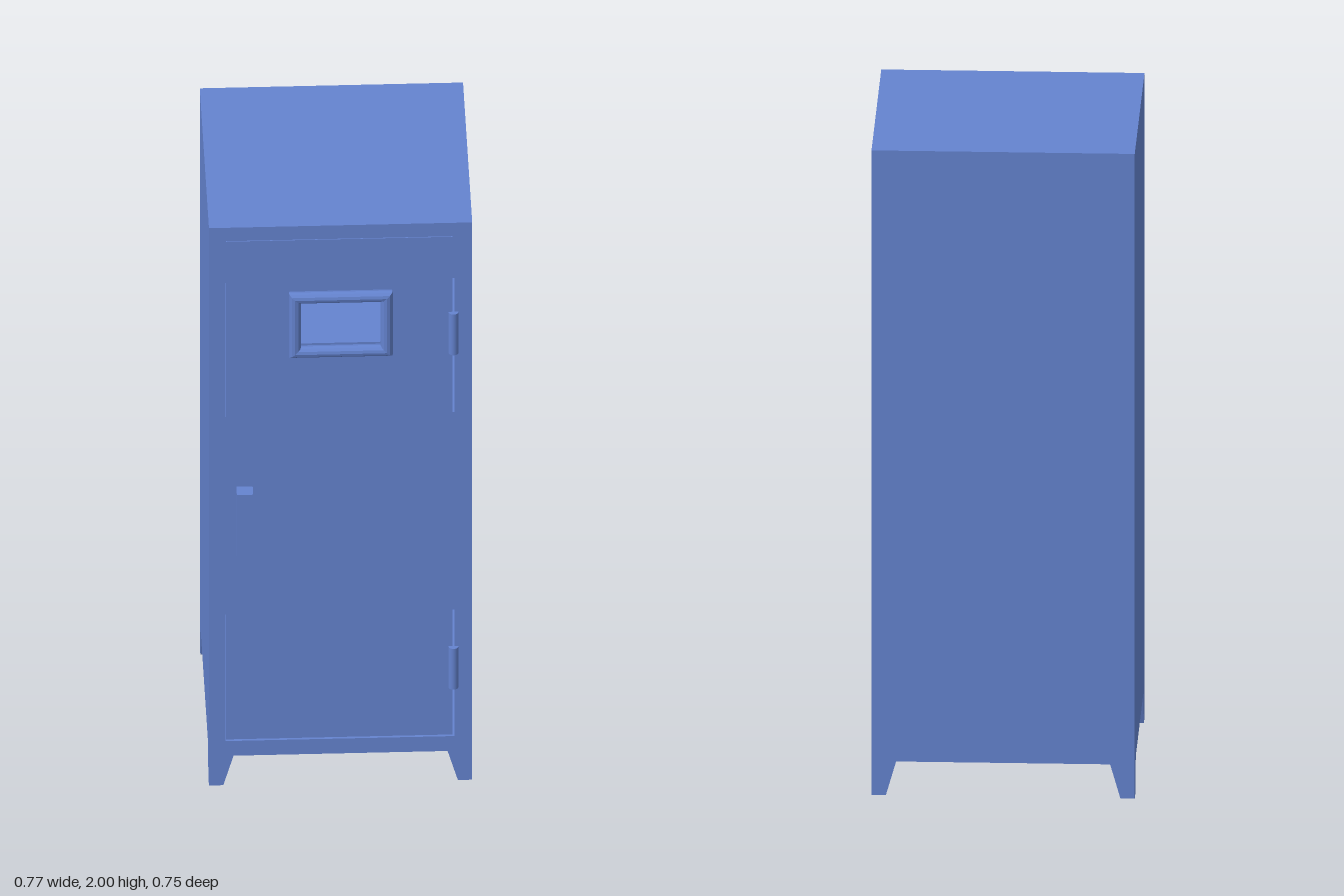
import * as THREE from 'three';

const W = 0.385, FRONT = 0.33, BACK = -0.375, BASE = 0.105, TOP = 2, T = 0.015;

export function createModel() {
  const model = new THREE.Group();
  model.name = 'locker';
  const paint = new THREE.MeshStandardMaterial({ color: 0x6483cf });
  paint.name = 'bluePaint';

  const add = (name, geometry) => {
    const mesh = new THREE.Mesh(geometry, paint);
    mesh.name = name;
    model.add(mesh);
    return mesh;
  };
  // Box given by its minimum and maximum corners
  const box = (name, x0, x1, y0, y1, z0, z1) =>
    add(name, new THREE.BoxGeometry(x1 - x0, y1 - y0, z1 - z0)
      .translate((x0 + x1) / 2, (y0 + y1) / 2, (z0 + z1) / 2));
  const rect = (x0, x1, y0, y1) => new THREE.Shape(
    [[x0, y0], [x1, y0], [x1, y1], [x0, y1]].map(p => new THREE.Vector2(...p)));
  const plate = shape => new THREE.ExtrudeGeometry(shape, { depth: T, bevelEnabled: false });

  // Hollow cabinet shell
  box('topPanel', -W, W, TOP - T, TOP, BACK, FRONT);
  box('bottomPanel', -W, W, BASE, BASE + T, BACK, FRONT);
  box('backPanel', -W, W, BASE, TOP, BACK, BACK + T);
  box('rightPanel', -W, -W + T, BASE, TOP, BACK, FRONT);
  box('leftPanel', W - T, W, BASE, TOP, BACK, FRONT);
  box('shelf', -W + T, W - T, 1.295, 1.31, BACK + T, FRONT - T);

  // Front frame around the door opening
  const frame = rect(-W, W, BASE, TOP);
  frame.holes.push(rect(-0.337, 0.333, 0.158, 1.952));
  add('doorSurround', plate(frame).translate(0, 0, FRONT - T));

  // Door with a window opening, narrow gaps all round
  const door = rect(-0.335, 0.327, 0.164, 1.95);
  door.holes.push(rect(-0.118, 0.118, 1.579, 1.741));
  add('door', plate(door).translate(0, 0, FRONT - T));

  // Window trim: a round section swept round a rectangle with mitred corners
  const SIDES = 12, R = 0.018, pos = [];
  const corners = [[1, 1], [-1, 1], [-1, -1], [1, -1]];
  const at = (c, s) => {
    const a = (s / SIDES) * Math.PI * 2, [sx, sy] = corners[c % 4];
    const out = R * Math.cos(a);
    return [sx * (0.134 + out), 1.66 + sy * (0.097 + out), 0.348 + R * Math.sin(a)];
  };
  for (let c = 0; c < 4; c++) {
    for (let s = 0; s < SIDES; s++) {
      const p = at(c, s), q = at(c + 1, s), r = at(c + 1, s + 1), t = at(c, s + 1);
      pos.push(...p, ...q, ...r, ...p, ...r, ...t);
    }
  }
  const trim = new THREE.BufferGeometry();
  trim.setAttribute('position', new THREE.Float32BufferAttribute(pos, 3));
  trim.computeVertexNormals();
  add('windowTrim', trim);

  // Handle and hinges
  box('handle', -0.305, -0.257, 0.845, 1.07, FRONT, 0.372);
  for (const y of [0.408, 1.608]) {
    add('hinge', new THREE.CylinderGeometry(0.015, 0.015, 0.146, 20).translate(0.33, y, FRONT));
  }

  // Tapered corner feet, each made of two plates meeting at the corner
  const footShape = (edge, dir, foot, top) => new THREE.Shape([
    new THREE.Vector2(edge, 0), new THREE.Vector2(edge + dir * foot, 0),
    new THREE.Vector2(edge + dir * top, BASE), new THREE.Vector2(edge, BASE),
  ]);
  for (const sx of [-1, 1]) {
    for (const z of [BACK, FRONT]) {
      const inward = z > 0 ? -1 : 1;
      add('footFacing', plate(footShape(sx * W, -sx, 0.042, 0.072))
        .translate(0, 0, z > 0 ? z - T : z));
      add('footSide', plate(footShape(z, inward, 0.046, 0.076))
        .rotateY(-Math.PI / 2).translate(sx > 0 ? W : -W + T, 0, 0));
    }
  }
  return model;
}
